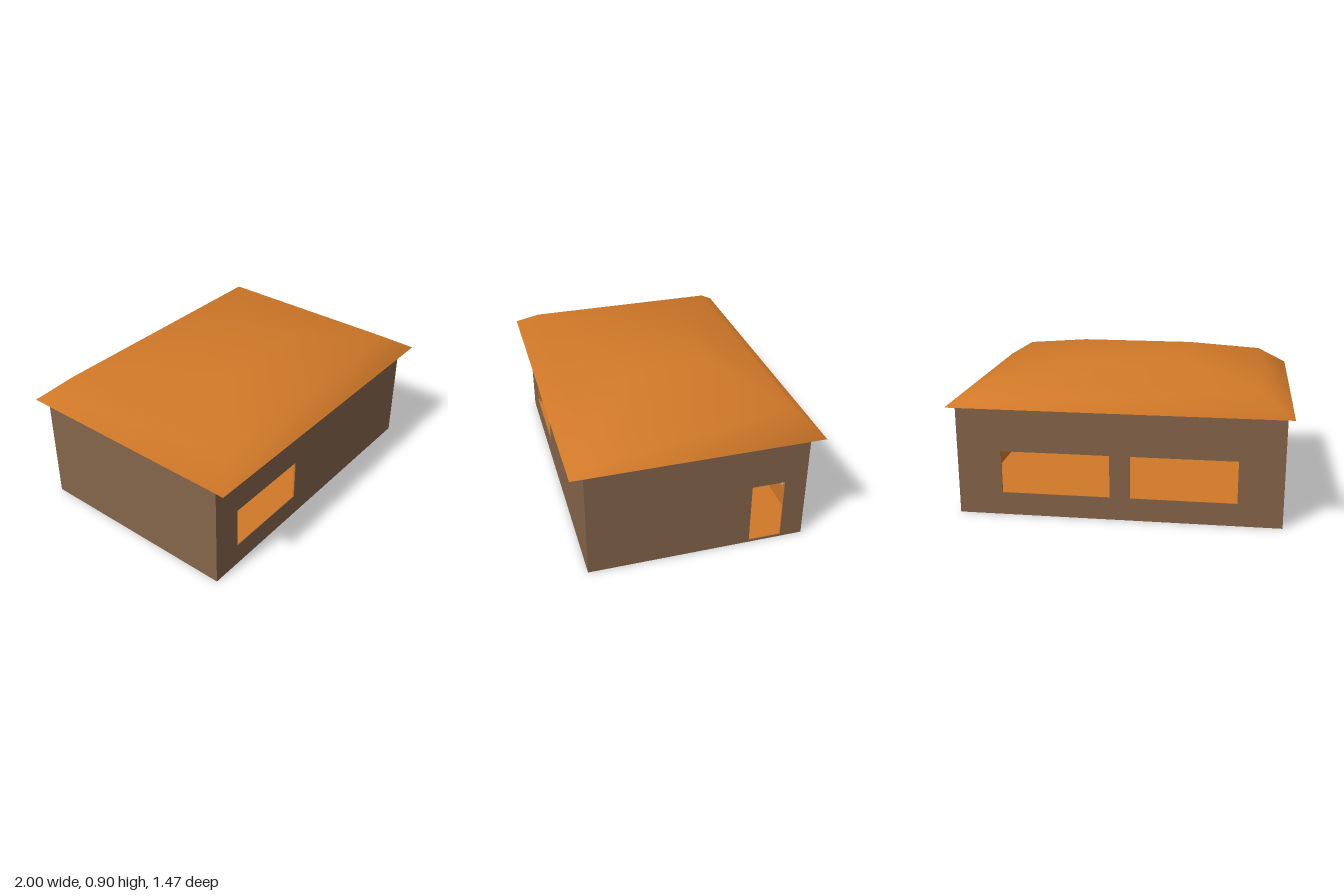
import * as THREE from 'three';

const ORANGE = new THREE.MeshStandardMaterial({ color: 0xd07828 });
const BROWN = new THREE.MeshStandardMaterial({ color: 0x84644a });
const DARK = new THREE.MeshStandardMaterial({ color: 0x2c3036 });

const HX = 0.965, HZ = 0.655, WALL_H = 0.68;
const SKIN = 0.004, LINING = 0.008;

function addMesh(parent, name, geometry, material) {
  const mesh = new THREE.Mesh(geometry, material);
  mesh.name = name;
  parent.add(mesh);
  return mesh;
}

function rectangle(Type, x0, y0, x1, y1) {
  return new Type([[x0, y0], [x1, y0], [x1, y1], [x0, y1]].map(p => new THREE.Vector2(...p)));
}

// Wall panel facing +z with its outer face on z = 0: brown skin, orange lining
function makeWall(name, half, openings) {
  const wall = new THREE.Group();
  wall.name = name;
  const panel = inset => {
    const shape = rectangle(THREE.Shape, -half + inset, 0, half - inset, WALL_H);
    shape.holes = openings.map(o => rectangle(THREE.Path, ...o));
    return shape;
  };
  const options = depth => ({ depth, bevelEnabled: false });
  addMesh(wall, name + 'Outside', new THREE.ExtrudeGeometry(panel(0), options(SKIN)), BROWN)
    .position.z = -SKIN;
  addMesh(wall, name + 'Lining', new THREE.ExtrudeGeometry(panel(SKIN), options(LINING)), ORANGE)
    .position.z = -SKIN - LINING;
  return wall;
}

// Roof surface: rectangular rings from eave to flat top, with shared smooth normals
function makeRoofGeometry() {
  const rings = [
    [1, 0.735, 0.68], [0.96, 0.705, 0.705], [0.81, 0.6, 0.8], [0.35, 0.26, 0.9],
  ];
  const positions = [], index = [];
  for (const [x, z, y] of rings) positions.push(-x, y, z, x, y, z, x, y, -z, -x, y, -z);
  for (let r = 0; r < rings.length - 1; r++) {
    for (let i = 0; i < 4; i++) {
      const a = r * 4 + i, b = r * 4 + (i + 1) % 4;
      index.push(a, b, b + 4, a, b + 4, a + 4);
    }
  }
  const t = (rings.length - 1) * 4;
  index.push(t, t + 1, t + 2, t, t + 2, t + 3);
  const geometry = new THREE.BufferGeometry();
  geometry.setAttribute('position', new THREE.Float32BufferAttribute(positions, 3));
  geometry.setIndex(index);
  geometry.computeVertexNormals();
  return geometry;
}

export function createModel() {
  const house = new THREE.Group();
  house.name = 'house';

  // Walls; openings are x0, y0, x1, y1 as seen from outside
  const walls = [
    ['frontWall', HX, [[-0.78, 0.14, -0.22, 0.4]], 0, 0, HZ],
    ['backWall', HX, [[-0.7, 0.14, -0.05, 0.4], [0.07, 0.14, 0.7, 0.4]], Math.PI, 0, -HZ],
    ['doorWall', HZ, [[0.32, 0.015, 0.52, 0.4]], Math.PI / 2, HX, 0],
    ['plainWall', HZ, [], -Math.PI / 2, -HX, 0],
  ];
  for (const [name, half, openings, turn, x, z] of walls) {
    const wall = makeWall(name, half, openings);
    wall.rotation.y = turn;
    wall.position.set(x, 0, z);
    house.add(wall);
  }

  // Floor slab with an orange inner surface
  const inX = 2 * (HX - SKIN), inZ = 2 * (HZ - SKIN);
  addMesh(house, 'floorSlab', new THREE.BoxGeometry(2 * HX, 0.006, 2 * HZ), BROWN).position.y = 0.003;
  addMesh(house, 'floor', new THREE.BoxGeometry(inX, 0.006, inZ), ORANGE).position.y = 0.009;

  // Ceiling, eave underside and roof
  addMesh(house, 'ceiling', new THREE.BoxGeometry(inX, 0.006, inZ), ORANGE).position.y = WALL_H - 0.005;
  const soffit = addMesh(house, 'eaveUnderside', new THREE.PlaneGeometry(2, 1.47), DARK);
  soffit.rotation.x = Math.PI / 2;
  soffit.position.y = WALL_H;
  addMesh(house, 'roof', makeRoofGeometry(), ORANGE);

  return house;
}
